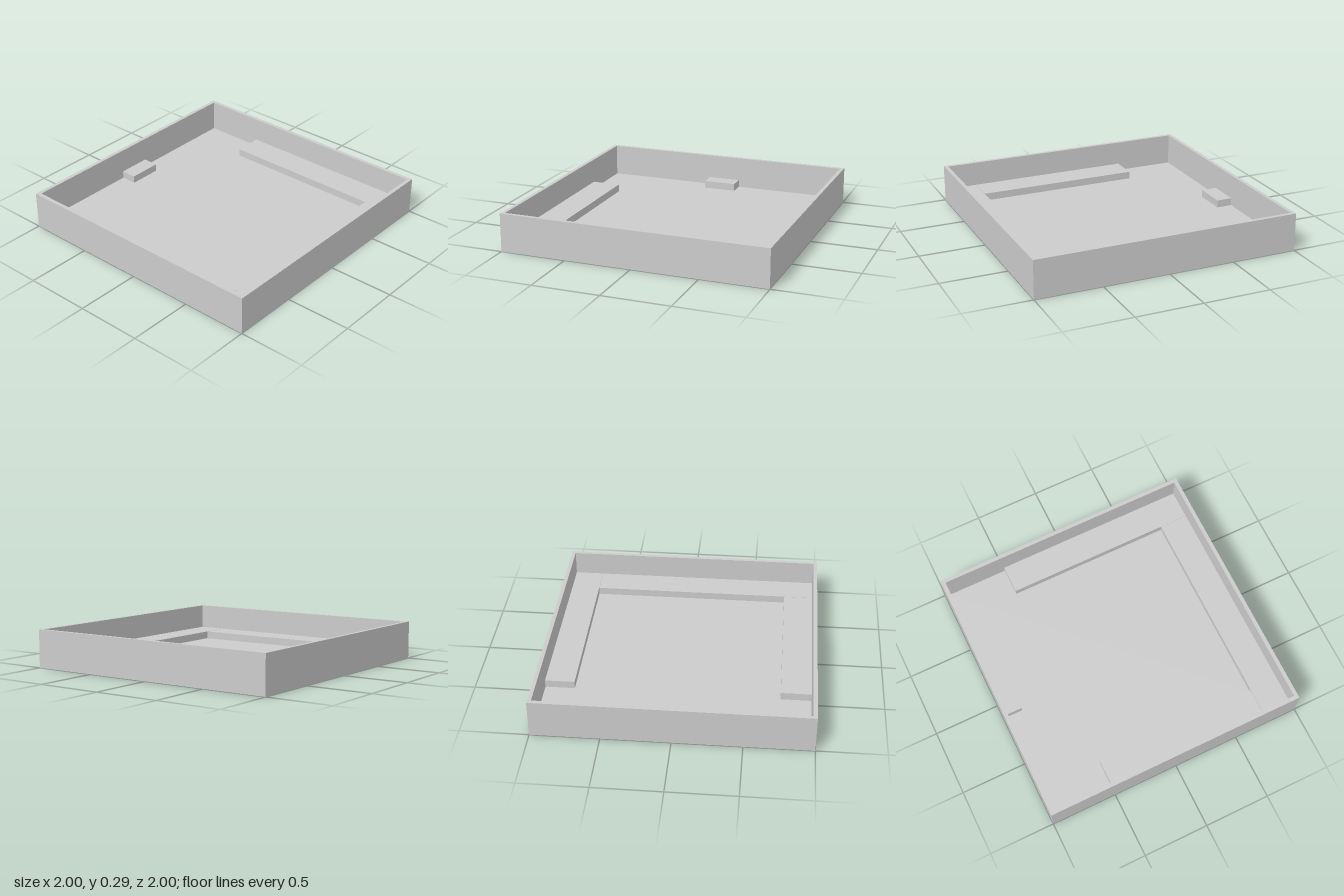
import * as THREE from 'three';

export function createModel() {
  const group = new THREE.Group();
  const material = new THREE.MeshStandardMaterial({ color: 0xcccccc });
  const height = 0.286, inner = 0.971, floorTop = 0.043, benchTop = 0.1;

  const add = (name, geometry) => {
    const mesh = new THREE.Mesh(geometry, material);
    mesh.name = name;
    group.add(mesh);
  };

  // Box given by its extents along each axis
  const addBox = (name, [x0, x1], [y0, y1], [z0, z1]) => {
    const geometry = new THREE.BoxGeometry(x1 - x0, y1 - y0, z1 - z0);
    geometry.translate((x0 + x1) / 2, (y0 + y1) / 2, (z0 + z1) / 2);
    add(name, geometry);
  };

  const square = (r) => [[-r, -r], [r, -r], [r, r], [-r, r]].map(([x, y]) => new THREE.Vector2(x, y));

  // Thin perimeter wall
  const outline = new THREE.Shape(square(1));
  outline.holes.push(new THREE.Path(square(inner)));
  const walls = new THREE.ExtrudeGeometry(outline, { depth: height, bevelEnabled: false });
  walls.rotateX(-Math.PI / 2);
  add('walls', walls);

  // Floor slab inside the walls
  addBox('floor', [-inner, inner], [0, floorTop], [-inner, inner]);

  // Low benches along three sides, and a step at the back
  const rise = [floorTop, benchTop];
  addBox('leftBench', [0.753, inner], rise, [-0.502, inner]);
  addBox('rightBench', [-inner, -0.748], rise, [-0.502, 0.75]);
  addBox('frontBench', [-inner, 0.752], rise, [0.753, inner]);
  addBox('backStep', [-0.126, 0.126], rise, [-inner, -0.85]);

  return group;
}
